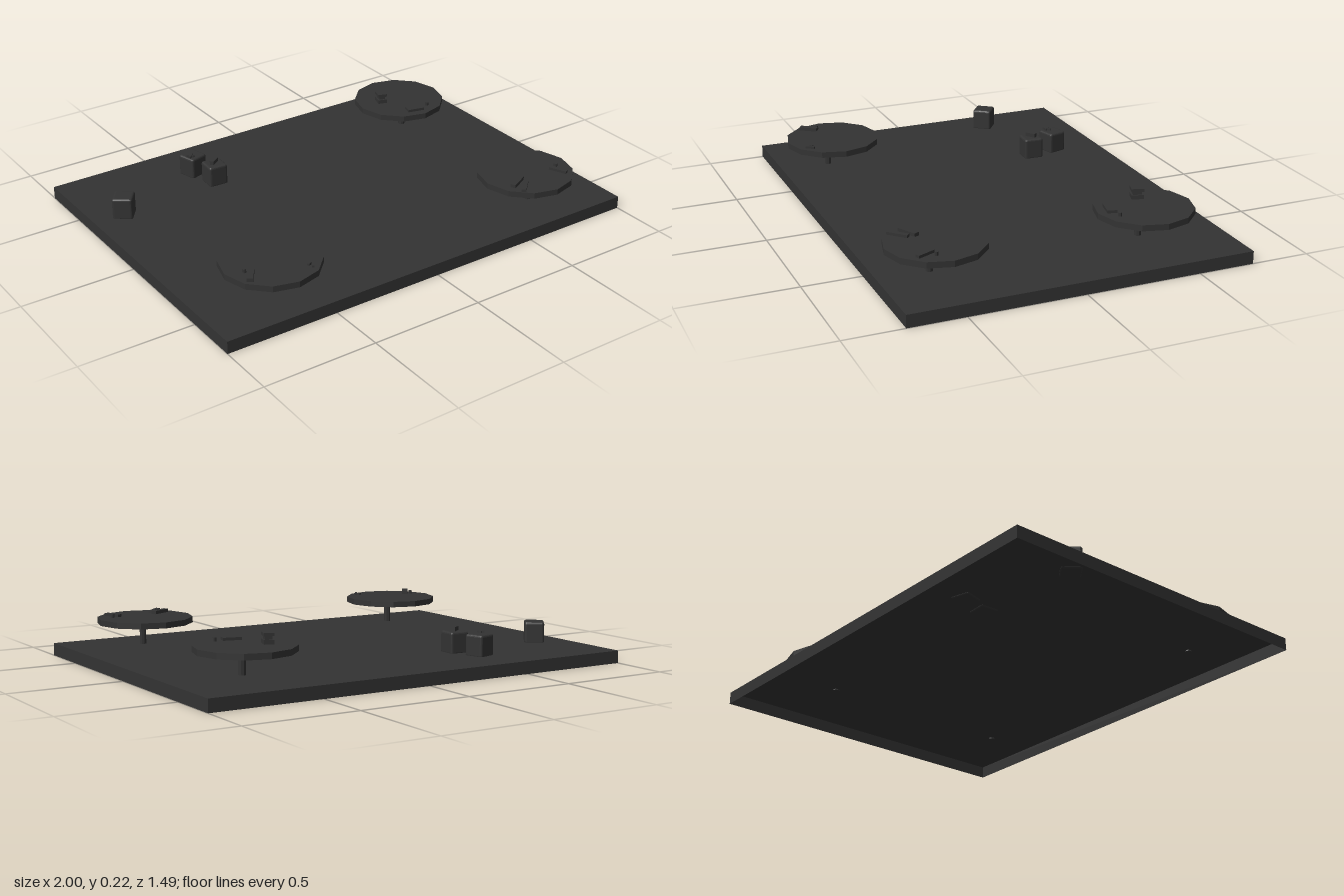
import * as THREE from 'three';
import { RoundedBoxGeometry } from 'three/addons/geometries/RoundedBoxGeometry.js';

const FLOOR = 0.055; // top of the base
const TABLE = 0.179; // top of the tables

const dark = new THREE.MeshStandardMaterial({ color: 0x333333, flatShading: true });
const darkThin = new THREE.MeshStandardMaterial({ color: 0x333333, flatShading: true, side: THREE.DoubleSide });

function add(parent, name, geometry, x, y, z, turn = 0, material = dark) {
  const mesh = new THREE.Mesh(geometry, material);
  mesh.name = name;
  mesh.position.set(x, y, z);
  mesh.rotation.y = turn;
  parent.add(mesh);
  return mesh;
}

// Box standing on height y
function block(parent, name, w, h, d, x, y, z, turn = 0) {
  return add(parent, name, new THREE.BoxGeometry(w, h, d), x, y + h / 2, z, turn);
}

// Flat bar lying between two points of the plan
function bar(parent, name, x1, z1, x2, z2, width, height, y = TABLE) {
  const length = Math.hypot(x2 - x1, z2 - z1);
  const turn = Math.atan2(z1 - z2, x2 - x1);
  return block(parent, name, length, height, width, (x1 + x2) / 2, y, (z1 + z2) / 2, turn);
}

// Small round item standing on a table
function peg(parent, name, x, z, h = 0.016) {
  add(parent, name, new THREE.CylinderGeometry(0.008, 0.008, h, 8), x, TABLE + h / 2, z);
}

// Shallow base, open underneath: a top sheet with a skirt of four walls
function makeBase() {
  const base = new THREE.Group();
  base.name = 'base';
  const hx = 1, hz = 0.745;
  const top = add(base, 'baseTop', new THREE.PlaneGeometry(2 * hx, 2 * hz), 0, FLOOR, 0, 0, darkThin);
  top.rotation.x = -Math.PI / 2;
  for (let i = 0; i < 4; i++) {
    const a = i * Math.PI / 2;
    const length = i % 2 ? 2 * hz : 2 * hx;
    add(base, 'baseWall', new THREE.PlaneGeometry(length, FLOOR),
      Math.sin(a) * hx, FLOOR / 2, Math.cos(a) * hz, a, darkThin);
  }
  return base;
}

// Round table on a thin post
function makeTable(x, z) {
  const table = new THREE.Group();
  table.name = 'table';
  add(table, 'tableTop', new THREE.CylinderGeometry(0.211, 0.211, 0.026, 12), x, TABLE - 0.013, z);
  const h = 0.155 - 0.05;
  add(table, 'tablePost', new THREE.CylinderGeometry(0.015, 0.015, h, 8), x, 0.05 + h / 2, z + 0.025);
  return table;
}

export function createModel() {
  const model = new THREE.Group();
  model.name = 'tableSet';
  model.add(makeBase());

  const spots = [[0.665, -0.42], [0.665, 0.5], [-0.65, 0.5]];
  const [backTable, leftTable, rightTable] = spots.map(([x, z]) => {
    const table = makeTable(x, z);
    model.add(table);
    return table;
  });

  // Back table: waisted holder, flat book and peg
  const turn = -0.3;
  block(backTable, 'holderFoot', 0.042, 0.018, 0.052, 0.572, TABLE, -0.437, turn);
  block(backTable, 'holderNeck', 0.03, 0.016, 0.038, 0.572, TABLE + 0.018, -0.437, turn);
  block(backTable, 'holderCap', 0.044, 0.013, 0.054, 0.572, TABLE + 0.033, -0.437, turn);
  block(backTable, 'book', 0.078, 0.012, 0.042, 0.648, TABLE, -0.273, -0.22);
  peg(backTable, 'peg', 0.725, -0.278);

  // Left table: three bars and a peg
  bar(leftTable, 'bar', 0.517, 0.592, 0.599, 0.55, 0.024, 0.015);
  bar(leftTable, 'bar', 0.53, 0.648, 0.597, 0.585, 0.02, 0.012);
  bar(leftTable, 'bar', 0.765, 0.548, 0.797, 0.622, 0.02, 0.012);
  peg(leftTable, 'peg', 0.8, 0.546);

  // Right table: bar, peg and a small bent clip
  bar(rightTable, 'bar', -0.81, 0.605, -0.762, 0.538, 0.026, 0.015);
  peg(rightTable, 'peg', -0.79, 0.532);
  bar(rightTable, 'clipLong', -0.552, 0.655, -0.53, 0.622, 0.01, 0.01);
  bar(rightTable, 'clipShort', -0.56, 0.632, -0.546, 0.625, 0.01, 0.01);

  // Square stools with softened edges
  const seat = 0.147;
  const stools = [[-0.856, -0.348, -0.65], [-0.419, -0.516, 0.28], [-0.381, -0.389, -0.05]];
  for (const [x, z, a] of stools) {
    const h = seat - 0.048;
    add(model, 'stool', new RoundedBoxGeometry(0.088, h, 0.088, 2, 0.01), x, 0.048 + h / 2, z, a);
  }

  // Small items left on two of the stools
  bar(model, 'stoolBar', -0.402, -0.375, -0.362, -0.403, 0.018, 0.018, seat);
  bar(model, 'stoolClip', -0.452, -0.485, -0.425, -0.51, 0.01, 0.01, seat);
  bar(model, 'stoolClip', -0.452, -0.508, -0.428, -0.486, 0.01, 0.01, seat);

  return model;
}
